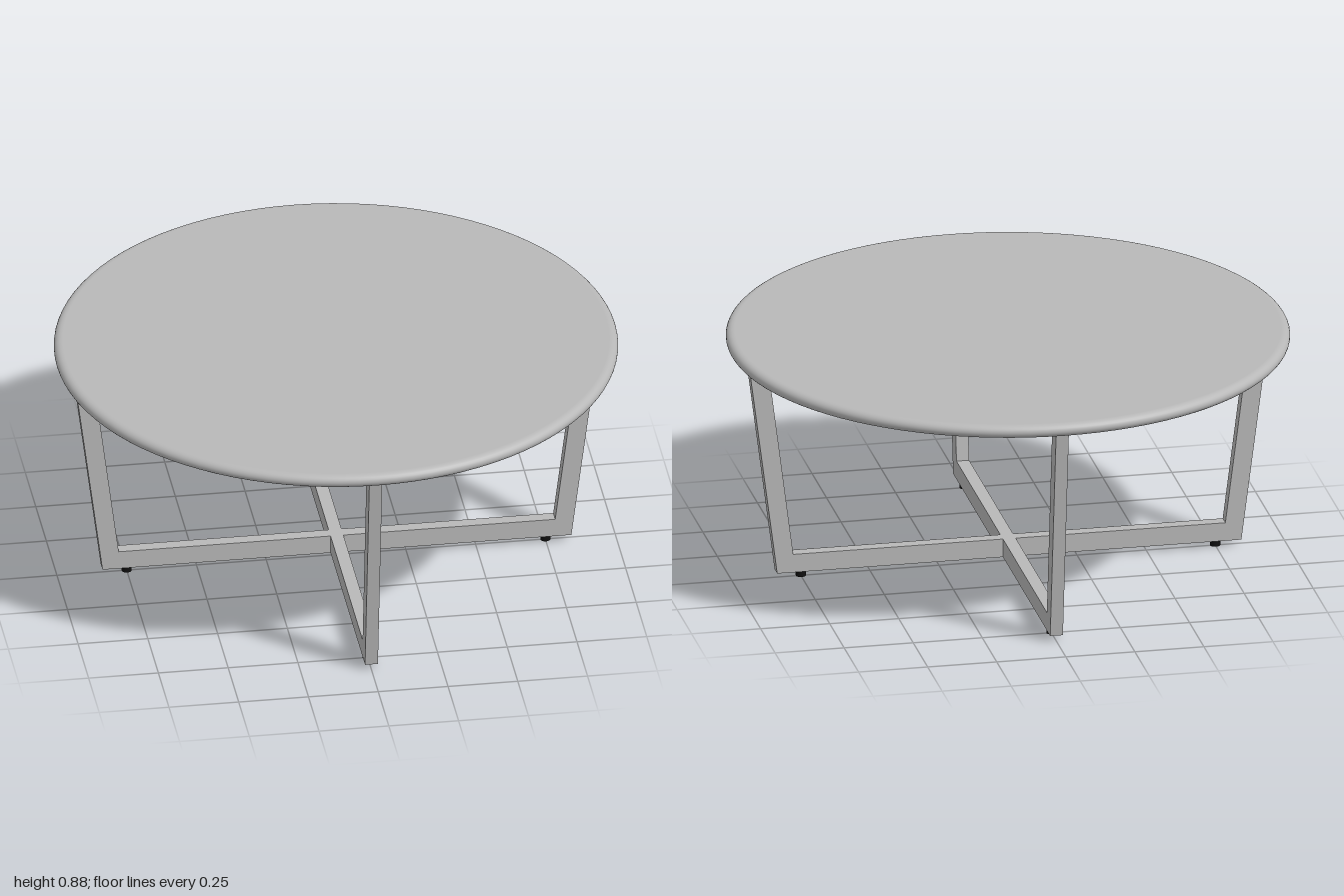
import * as THREE from 'three';

const metal = new THREE.MeshStandardMaterial({ name: 'light grey', color: 0xb8b8b8 });
const rubber = new THREE.MeshStandardMaterial({ name: 'black rubber', color: 0x101010 });
const BAR = 0.046; // width of the flat bars

function addMesh(parent, name, geometry, material) {
  const mesh = new THREE.Mesh(geometry, material);
  mesh.name = name;
  parent.add(mesh);
  return mesh;
}

// Extrudes an outline in the xy plane, centred on z
function barGeometry(points) {
  const shape = new THREE.Shape(points.map(([x, y]) => new THREE.Vector2(x, y)));
  return new THREE.ExtrudeGeometry(shape, { depth: BAR, bevelEnabled: false }).translate(0, 0, -BAR / 2);
}

export function createModel() {
  const table = new THREE.Group();
  table.name = 'roundTable';

  // Round top with a softly rounded rim
  const bottom = 0.828, top = 0.876, mid = 0.852;
  const profile = [new THREE.Vector2(0, bottom), new THREE.Vector2(0.968, bottom)];
  for (let i = 0; i <= 12; i++) {
    const a = -Math.PI / 2 + (Math.PI * i) / 12;
    profile.push(new THREE.Vector2(0.972 + 0.028 * Math.cos(a), mid + 0.024 * Math.sin(a)));
  }
  profile.push(new THREE.Vector2(0.968, top), new THREE.Vector2(0, top));
  addMesh(table, 'tableTop', new THREE.LatheGeometry(profile, 96), metal);

  // Two crossing floor rails with mitred ends
  const railShape = barGeometry([[-0.84, 0.022], [0.84, 0.022], [0.782, 0.09], [-0.782, 0.09]]);
  for (let i = 0; i < 2; i++) {
    addMesh(table, 'floorRail', railShape, metal).rotation.y = (i * Math.PI) / 2;
  }

  // Four arms: leaning leg, mounting plate and foot
  const legShape = barGeometry([[0.84, 0.022], [0.943, 0.822], [0.875, 0.822], [0.782, 0.09]]);
  for (let i = 0; i < 4; i++) {
    const arm = new THREE.Group();
    arm.name = 'legAssembly';
    arm.rotation.y = (i * Math.PI) / 2;
    addMesh(arm, 'leg', legShape, metal);
    addMesh(arm, 'mountingPlate', new THREE.BoxGeometry(0.09, 0.009, 0.12), metal).position.set(0.901, 0.8245, 0);
    addMesh(arm, 'foot', new THREE.CylinderGeometry(0.018, 0.018, 0.024, 20), rubber).position.set(0.75, 0.012, 0);
    table.add(arm);
  }
  return table;
}
